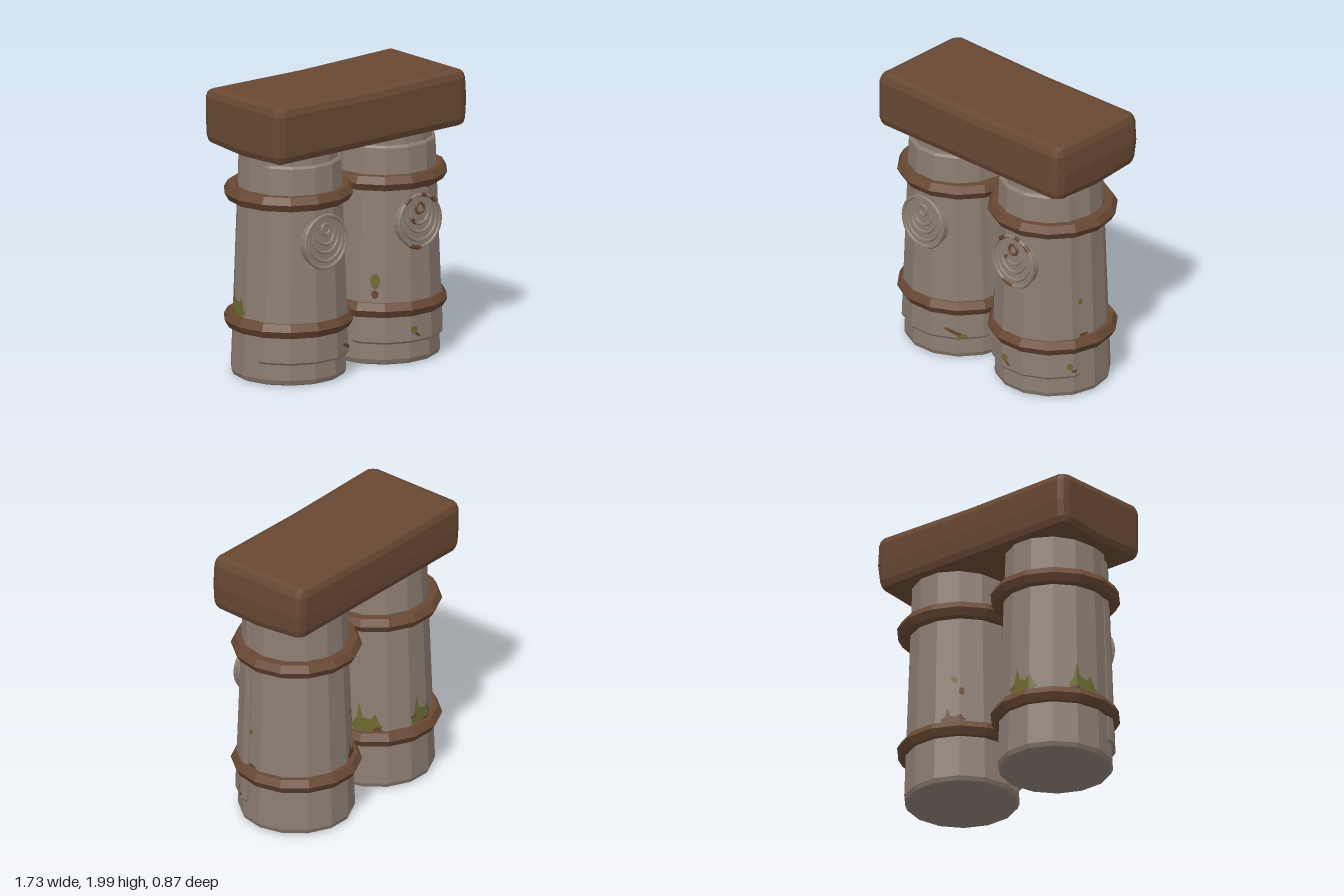
import * as THREE from 'three';

const flat = (name, color) => Object.assign(new THREE.MeshStandardMaterial({ color, flatShading: true }), { name });
const SIDES = 14;
const FACET = (Math.PI * 2) / SIDES;

export function createModel() {
  const model = new THREE.Group();
  const stone = flat('stone', 0x8c7d72);
  const wood = flat('wood', 0x684833);
  const moss = flat('moss', 0x6c6a32);
  const rust = flat('rust', 0x68462f);
  moss.side = rust.side = THREE.DoubleSide;

  const add = (parent, name, geometry, material) => {
    const mesh = new THREE.Mesh(geometry, material);
    mesh.name = name;
    parent.add(mesh);
    return mesh;
  };

  // Tapered shaft with a chamfered foot
  function shaftGeometry() {
    const profile = [[0, 0.01], [0.365, 0.01], [0.385, 0.02], [0.397, 0.05], [0.341, 1.62], [0, 1.62]];
    return new THREE.LatheGeometry(profile.map(p => new THREE.Vector2(...p)), SIDES, Math.PI / 2);
  }

  // Raised plate wrapped round the front, narrowing with the shaft
  function panelGeometry() {
    const half = [[0.378, 0.12], [0.37, 0.18], [0.259, 0.325], [0.0925, 0.405]];
    const outline = [...half, ...half.map(([x, z]) => [-x, z]).reverse()];
    const g = new THREE.ExtrudeGeometry(new THREE.Shape(outline.map(([x, z]) => new THREE.Vector2(x, -z))), {
      depth: 1.35, bevelSize: 0.012, bevelOffset: -0.012, bevelThickness: 0.015, bevelSegments: 1,
    });
    g.rotateX(-Math.PI / 2).translate(0, 0.175, 0);
    const p = g.attributes.position;
    for (let i = 0; i < p.count; i++) {
      const s = 1 - 0.15 * (p.getY(i) - 0.16) / 1.38;
      p.setX(i, p.getX(i) * s);
      p.setZ(i, 0.12 + (p.getZ(i) - 0.12) * s);
    }
    return g;
  }

  // Lintel: box with two-step bevels, a sagging middle and slightly uneven faces
  function lintelGeometry() {
    const h = [0.845, 0.207, 0.4], bevel = 0.06;
    const g = new THREE.BoxGeometry(4, 4, 4, 4, 4, 4);
    const p = g.attributes.position;
    for (let i = 0; i < p.count; i++) {
      const t = [p.getX(i), p.getY(i), p.getZ(i)].map(Math.round);
      const edges = t.filter(v => Math.abs(v) === 2).length;
      const pull = [0, 0, 0.28, 0.42][edges] * bevel;
      const v = t.map((k, a) => Math.sign(k) * (Math.abs(k) === 2 ? h[a] - pull : Math.abs(k) === 1 ? h[a] - bevel : 0));
      if (t[0] === 0 && t[1] > 0) v[1] -= 0.012;
      if (t[0] > 0 && t[1] === 0) v[0] += 0.01;
      if (t[1] < 0) v[1] += t[2] < 0 ? 0.025 : t[2] > 0 ? 0.01 : -0.004;
      if (t[1] < 0 && t[2] < 0) v[2] += 0.01;
      p.setXYZ(i, v[0], v[1] + 1.79, v[2]);
    }
    return g;
  }

  // Thin stain following the facets; rows are [angle, bottom, top], angle in degrees from front towards +x
  function stainGeometry(rows, lift) {
    const pos = [], index = [];
    const point = (deg, y) => {
      const a = THREE.MathUtils.degToRad(deg);
      const off = a - Math.round(a / FACET) * FACET;
      const r = (0.387 - 0.0348 * y + lift) / Math.cos(off);
      pos.push(Math.sin(a) * r, y, Math.cos(a) * r);
    };
    rows.forEach((row, i) => {
      const next = rows[i + 1];
      const steps = next ? 4 : 1;
      for (let k = 0; k < steps; k++) {
        const mix = j => (next ? THREE.MathUtils.lerp(row[j], next[j], k / steps) : row[j]);
        point(mix(0), mix(1));
        point(mix(0), mix(2));
      }
    });
    for (let i = 0; i + 3 < pos.length / 3; i += 2) index.push(i, i + 2, i + 1, i + 1, i + 2, i + 3);
    const g = new THREE.BufferGeometry();
    g.setAttribute('position', new THREE.Float32BufferAttribute(pos, 3));
    g.setIndex(index);
    g.computeVertexNormals();
    return g;
  }
  // Jagged patch growing up from the lower band
  const jagged = (a, s = 1) => [[-17, 0.47, 0.5], [-12, 0.43, 0.55], [-9, 0.43, 0.66], [-5, 0.43, 0.56], [3, 0.43, 0.54],
    [8, 0.43, 0.58], [13, 0.47, 0.5], [16, 0.48, 0.49]].map(([d, lo, hi]) => [a + d * s, lo, hi]);
  // Small round-ended patch
  const dab = (a, y, da, dy, tilt = 0) => [-1, -0.6, 0, 0.6, 1].map(t => {
    const w = dy * Math.sqrt(Math.max(0.04, 1 - t * t));
    return [a + t * da, y + t * tilt - w, y + t * tilt + w];
  });

  // Round badge of nested rings tilted back into the disc
  function badge(worn) {
    const g = new THREE.Group();
    g.name = 'badge';
    g.position.set(0, 1, 0.385);
    g.rotation.x = -0.029;
    const disc = add(g, 'badgeDisc', new THREE.CylinderGeometry(0.185, 0.185, 0.07, 24), stone);
    disc.rotation.x = Math.PI / 2;
    disc.position.z = -0.033;
    const rim = add(g, 'badgeRim', new THREE.TorusGeometry(0.182, 0.013, 6, 28), stone);
    rim.position.z = 0.003;
    [[0.15, 0.018], [0.112, 0.038], [0.076, 0.06]].forEach(([r, y]) => {
      const ring = add(g, 'badgeCrescent', new THREE.TorusGeometry(r, 0.011, 6, 24), stone);
      ring.position.set(0, y, -0.003);
      ring.rotation.x = -0.013 / r;
    });
    const boss = add(g, 'badgeBoss', new THREE.TorusGeometry(0.036, 0.01, 6, 14), worn ? rust : stone);
    boss.position.set(0, 0.09, 0.006);
    if (worn) [[0.182, 0.7, 0.3], [0.182, 1.25, 0.25], [0.182, 2.0, 0.35], [0.182, 4.2, 0.5], [0.076, 3.5, 0.7]].forEach(([r, start, arc]) => {
      const wear = add(g, 'badgeWear', new THREE.TorusGeometry(r, 0.0145, 6, 6, arc), rust);
      wear.position.set(0, r < 0.1 ? 0.06 : 0, 0.003);
      wear.rotation.z = start;
    });
    return g;
  }

  // Stains for each column: [material, rows, lift]
  const onPanel = 0.029, onShaft = 0.005;
  const stains = {
    left: [
      [moss, dab(-48, 0.6, 5, 0.055), onPanel], [rust, dab(-48, 0.51, 3.5, 0.03), onPanel],
      [moss, dab(-9, 0.25, 4, 0.028), onPanel], [rust, dab(-5, 0.215, 3, 0.013, -0.012), onPanel],
      [moss, dab(60, 0.25, 3, 0.025), onPanel], [rust, dab(64, 0.215, 3, 0.013), onPanel],
      [moss, dab(74, 0.71, 3, 0.02), onShaft], [rust, dab(77, 0.46, 6, 0.012), onShaft],
      [moss, dab(213, 0.78, 4, 0.025, -0.01), onShaft], [rust, dab(221, 0.69, 3, 0.03), onShaft],
      [rust, jagged(213, 0.8).map(([a, lo, hi]) => [a, lo, lo + (hi - lo) * 0.6]), onShaft],
      [rust, dab(16, 1.23, 7, 0.014), onPanel],
    ],
    right: [
      [moss, jagged(186), onShaft], [moss, jagged(253), onShaft], [moss, jagged(121), onShaft],
      [rust, dab(173, 0.51, 5, 0.015), onShaft], [rust, dab(190, 0.45, 6, 0.02), onShaft + 0.003],
      [rust, dab(243, 0.46, 5, 0.025), onShaft + 0.003], [rust, dab(131, 0.46, 5, 0.025), onShaft + 0.003],
      [rust, dab(35, 0.22, 10, 0.015, -0.025), onPanel], [moss, dab(43, 0.19, 5, 0.016), onPanel + 0.003],
    ],
  };

  for (const side of ['left', 'right']) {
    const column = new THREE.Group();
    column.name = side + 'Column';
    column.position.x = side === 'left' ? 0.42 : -0.42;
    add(column, 'shaft', shaftGeometry(), stone);
    add(column, 'frontPanel', panelGeometry(), stone);
    for (const y of [0.4, 1.29]) {
      const band = add(column, 'band', new THREE.TorusGeometry(0.388, 0.058, 6, SIDES), wood);
      band.rotation.x = Math.PI / 2;
      band.position.y = y;
    }
    column.add(badge(side === 'left'));
    for (const [material, rows, lift] of stains[side]) add(column, material.name + 'Stain', stainGeometry(rows, lift), material);
    model.add(column);
  }

  add(model, 'lintel', lintelGeometry(), wood);
  return model;
}
